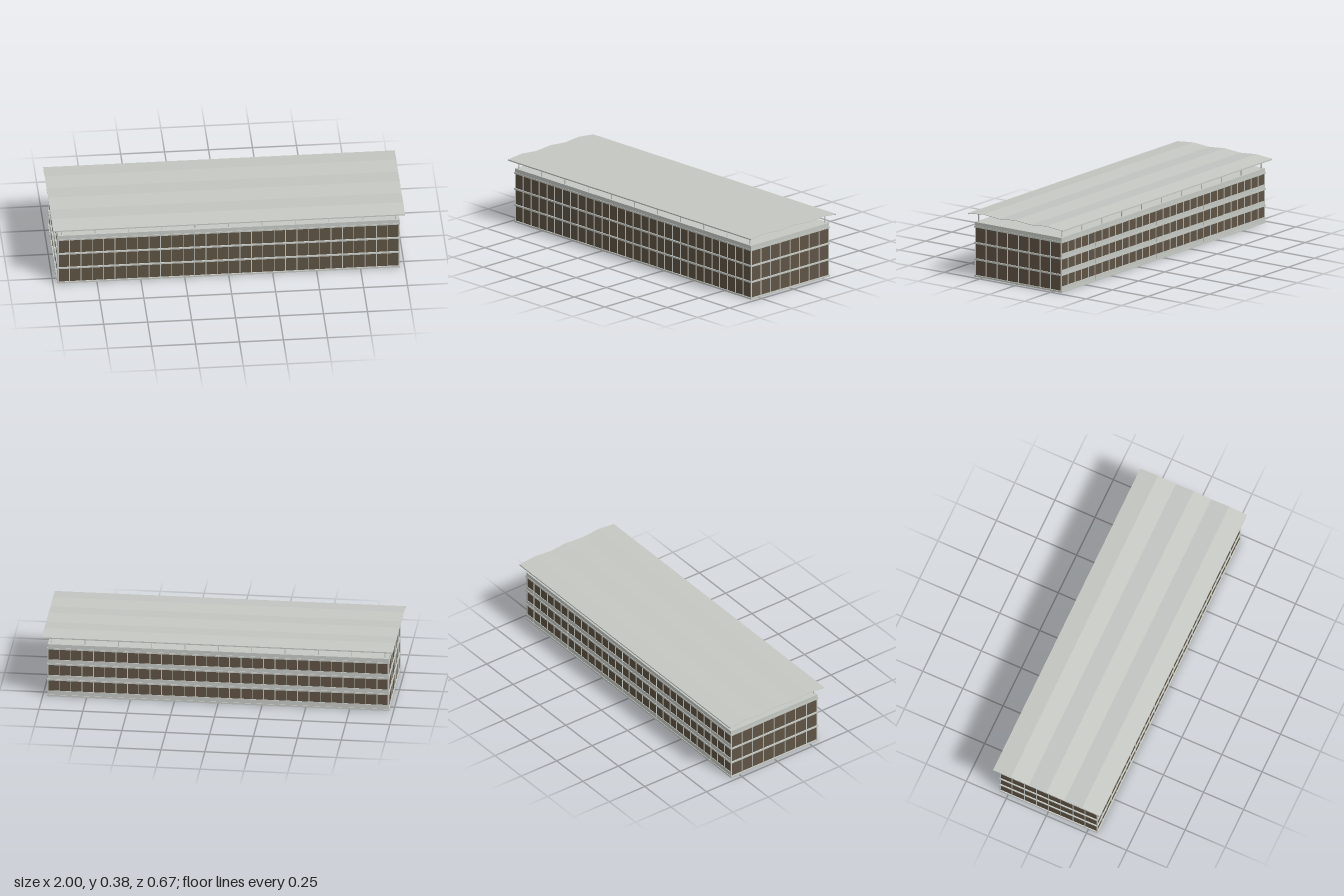
import * as THREE from 'three';

const concrete = new THREE.MeshStandardMaterial({ color: 0xc4c8c2 });
concrete.name = 'pale concrete';
const roofing = new THREE.MeshStandardMaterial({ color: 0xc4c7c2 });
roofing.name = 'roof grey';
const glazing = new THREE.MeshStandardMaterial({ color: 0x5e5243 });
glazing.name = 'brown glazing';

const HALF_X = 0.968, HALF_Z = 0.301; // glazed body
const STOREY = 0.0955, STOREYS = 3, TOP = 0.29;

export function createModel() {
  const model = new THREE.Group();
  model.name = 'officeBuilding';

  // Box given by its centre x, z and its bottom and top
  const box = (name, mat, w, d, x, z, y0, y1, parent = model) => {
    const mesh = new THREE.Mesh(new THREE.BoxGeometry(w, y1 - y0, d), mat);
    mesh.position.set(x, (y0 + y1) / 2, z);
    mesh.name = name;
    parent.add(mesh);
    return mesh;
  };
  const group = (name) => {
    const g = new THREE.Group();
    g.name = name;
    model.add(g);
    return g;
  };

  // Glazed body
  box('glazedBody', glazing, HALF_X * 2, HALF_Z * 2, 0, 0, 0.0005, TOP);

  // Floor slab edges: four-sided rings, so that the underside stays brown
  const slabs = group('floorSlabs');
  for (let i = 0; i <= STOREYS; i++) {
    const y0 = i * STOREY + (i ? 0.002 : 0), y1 = y0 + 0.0095;
    for (const s of [-1, 1]) {
      box('slabEdgeLong', concrete, 1.95, 0.012, 0, s * 0.302, y0, y1, slabs);
      box('slabEdgeShort', concrete, 0.012, 0.592, s * 0.969, 0, y0, y1, slabs);
    }
  }

  // Window mullions on all four sides
  const mullions = group('mullions');
  for (let i = 0; i <= 30; i++) {
    const x = -0.97 + (i * 1.94) / 30;
    for (const s of [-1, 1]) box('mullion', concrete, 0.004, 0.006, x, s * 0.302, 0.003, TOP, mullions);
  }
  for (let i = 0; i <= 8; i++) {
    const z = -0.303 + (i * 0.606) / 8;
    for (const s of [-1, 1]) box('mullion', concrete, 0.006, 0.004, s * 0.969, z, 0.003, TOP, mullions);
  }

  // Spandrel panels under the rear windows
  const spandrels = group('rearSpandrels');
  for (let i = 0; i < STOREYS; i++) {
    const y0 = i * STOREY + 0.009;
    box('spandrel', concrete, 1.938, 0.006, 0, -0.3015, y0, y0 + 0.025, spandrels);
  }

  // Parapet storey and rooftop plant room
  box('parapet', concrete, 1.944, 0.61, 0, 0, TOP + 0.004, 0.32);
  box('plantRoom', concrete, 0.654, 0.224, 0, 0, 0.319, 0.36);

  // Slim columns carrying the canopy
  const columns = group('canopyColumns');
  for (let i = -5; i <= 5; i++) {
    for (const s of [-1, 1]) box('canopyColumn', concrete, 0.004, 0.005, i * 0.19, s * 0.293, 0.319, 0.374, columns);
  }

  // Folded canopy roof with a small turned-down lip along each long edge
  const ridge = [[-0.333, 0.373], [-0.222, 0.383], [-0.111, 0.374], [0, 0.383],
    [0.111, 0.374], [0.222, 0.383], [0.333, 0.373]];
  const profile = new THREE.Shape();
  ridge.forEach(([z, y], i) => (i ? profile.lineTo(z, y) : profile.moveTo(z, y)));
  profile.lineTo(0.333, 0.366);
  profile.lineTo(0.331, 0.366);
  profile.lineTo(0.331, 0.3705);
  for (const [z, y] of ridge.slice(1, -1).reverse()) profile.lineTo(z, y - 0.0025);
  profile.lineTo(-0.331, 0.3705);
  profile.lineTo(-0.331, 0.366);
  profile.lineTo(-0.333, 0.366);
  const canopyGeo = new THREE.ExtrudeGeometry(profile, { depth: 2, bevelEnabled: false });
  canopyGeo.translate(0, 0, -1).rotateY(Math.PI / 2);
  const canopy = new THREE.Mesh(canopyGeo, roofing);
  canopy.name = 'foldedCanopy';
  model.add(canopy);

  return model;
}
